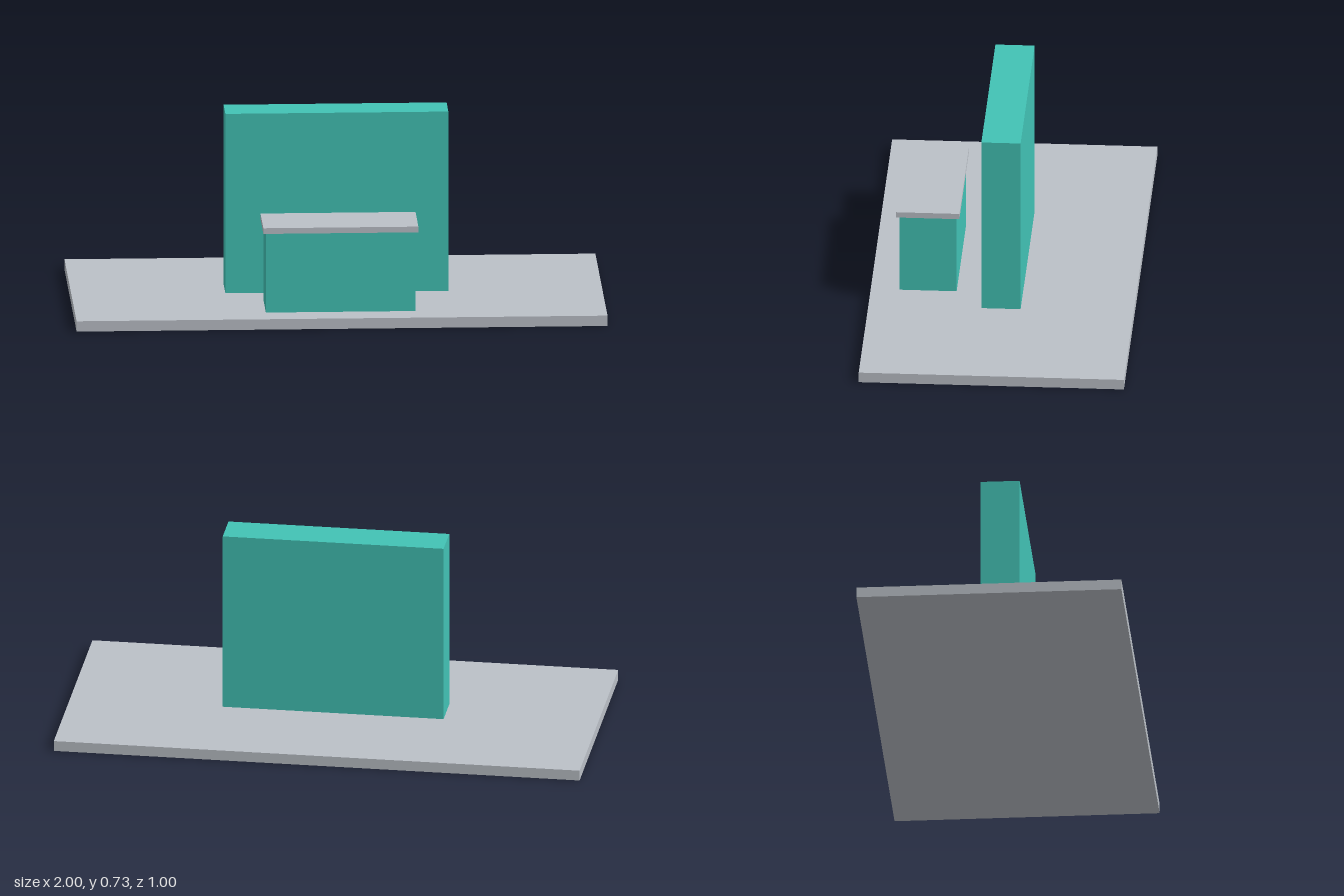
import * as THREE from 'three';

const teal = new THREE.MeshStandardMaterial({ color: 0x42c2b5 });
teal.name = 'teal';
const grey = new THREE.MeshStandardMaterial({ color: 0xbbc0c7 });
grey.name = 'grey';

// Box standing between heights y0 and y1, centred on x = 0
function block(name, material, width, depth, y0, y1, z) {
  const mesh = new THREE.Mesh(new THREE.BoxGeometry(width, y1 - y0, depth), material);
  mesh.position.set(0, (y0 + y1) / 2, z);
  mesh.name = name;
  return mesh;
}

export function createModel() {
  const model = new THREE.Group();
  model.name = 'receptionStand';
  model.add(
    // Floor platform
    block('platform', grey, 2, 1, 0, 0.04, 0),
    // Back wall, sunk slightly into the platform
    block('backWall', teal, 0.84, 0.148, 0.02, 0.734, 0),
    // Counter with its overhanging top
    block('counterBody', teal, 0.564, 0.216, 0.02, 0.347, 0.284),
    block('counterTop', grey, 0.584, 0.238, 0.347, 0.369, 0.284),
  );
  return model;
}
